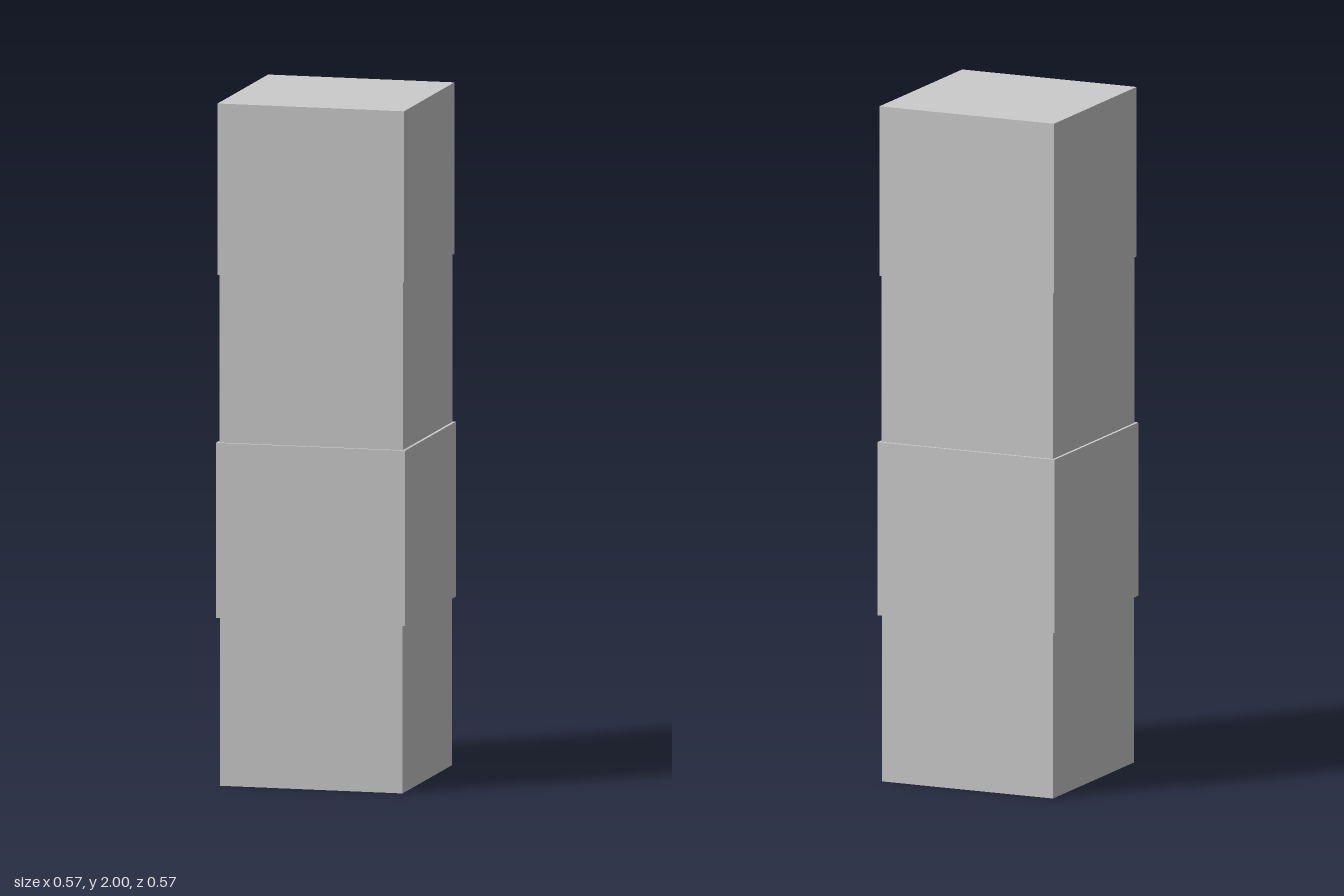
import * as THREE from 'three';

export function createModel() {
  const group = new THREE.Group();
  const material = new THREE.MeshStandardMaterial({ color: 0xcccccc, flatShading: true });

  // Stacked square blocks: name, width, bottom, top
  const blocks = [
    ['bottomBlock', 0.548, 0, 0.493],
    ['lowerMiddleBlock', 0.567, 0.493, 1.006],
    ['upperMiddleBlock', 0.55, 1.006, 1.498],
    ['topBlock', 0.559, 1.498, 2],
  ];
  for (const [name, width, bottom, top] of blocks) {
    const block = new THREE.Mesh(new THREE.BoxGeometry(width, top - bottom, width), material);
    block.name = name;
    block.position.y = (bottom + top) / 2;
    group.add(block);
  }
  return group;
}
